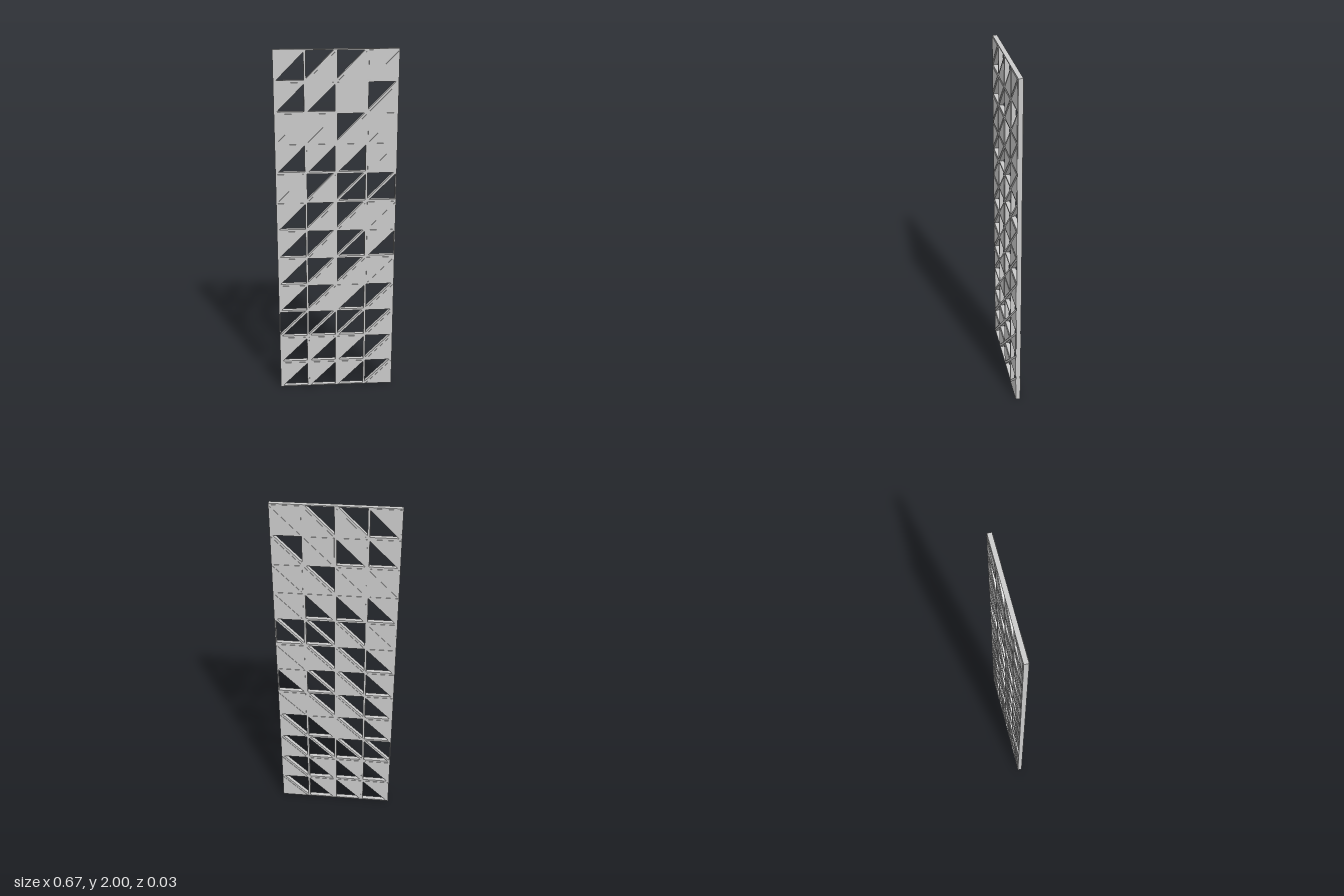
import * as THREE from 'three';

const COLS = 4, ROWS = 12, CELL = 2 / ROWS, BAR = 0.006;
const FRAME_DEPTH = 0.025, PANEL_DEPTH = 0.03;

// Open triangles per cell, top row first:
// U = upper left open, L = lower right open, B = both open, . = closed
const PATTERN = [
  'LUU.',
  'LL.U',
  '..U.',
  'LLL.',
  '.UBB',
  'LUU.',
  'LUBL',
  'LUU.',
  'LULU',
  'BBBU',
  'LLLU',
  'LLLU',
];

// Corners of one triangular bay, inset from the bars around it
function bay(col, row, upper) {
  const x = (col - COLS / 2) * CELL, y = (ROWS - 1 - row) * CELL;
  const a = BAR, b = CELL - BAR, d = BAR * Math.SQRT2;
  const corners = upper
    ? [[a, a + d], [b - d, b], [a, b]]
    : [[a + d, a], [b, a], [b, b - d]];
  return corners.map(([u, v]) => new THREE.Vector2(x + u, y + v));
}

function slab(shape, depth, material, name) {
  const geometry = new THREE.ExtrudeGeometry(shape, { depth, bevelEnabled: false });
  geometry.translate(0, 0, -depth / 2);
  const mesh = new THREE.Mesh(geometry, material);
  mesh.name = name;
  return mesh;
}

export function createModel() {
  const model = new THREE.Group();
  model.name = 'latticeScreen';
  const material = new THREE.MeshStandardMaterial({ color: 0xcccccc, flatShading: true });

  const w = COLS * CELL / 2, h = ROWS * CELL;
  const outline = new THREE.Shape([
    new THREE.Vector2(-w, 0), new THREE.Vector2(w, 0),
    new THREE.Vector2(w, h), new THREE.Vector2(-w, h),
  ]);
  const panels = new THREE.Group();
  panels.name = 'infillPanels';

  // Every bay is a hole in the frame; closed bays get a slightly thicker panel
  for (let row = 0; row < ROWS; row++) {
    for (let col = 0; col < COLS; col++) {
      for (const upper of [true, false]) {
        const points = bay(col, row, upper);
        const code = PATTERN[row][col];
        const open = code === 'B' || code === (upper ? 'U' : 'L');
        outline.holes.push(new THREE.Path(points));
        if (!open) panels.add(slab(new THREE.Shape(points), PANEL_DEPTH, material, 'trianglePanel'));
      }
    }
  }

  // Thin lattice of uprights, rails and diagonals
  model.add(slab(outline, FRAME_DEPTH, material, 'latticeFrame'), panels);
  return model;
}
